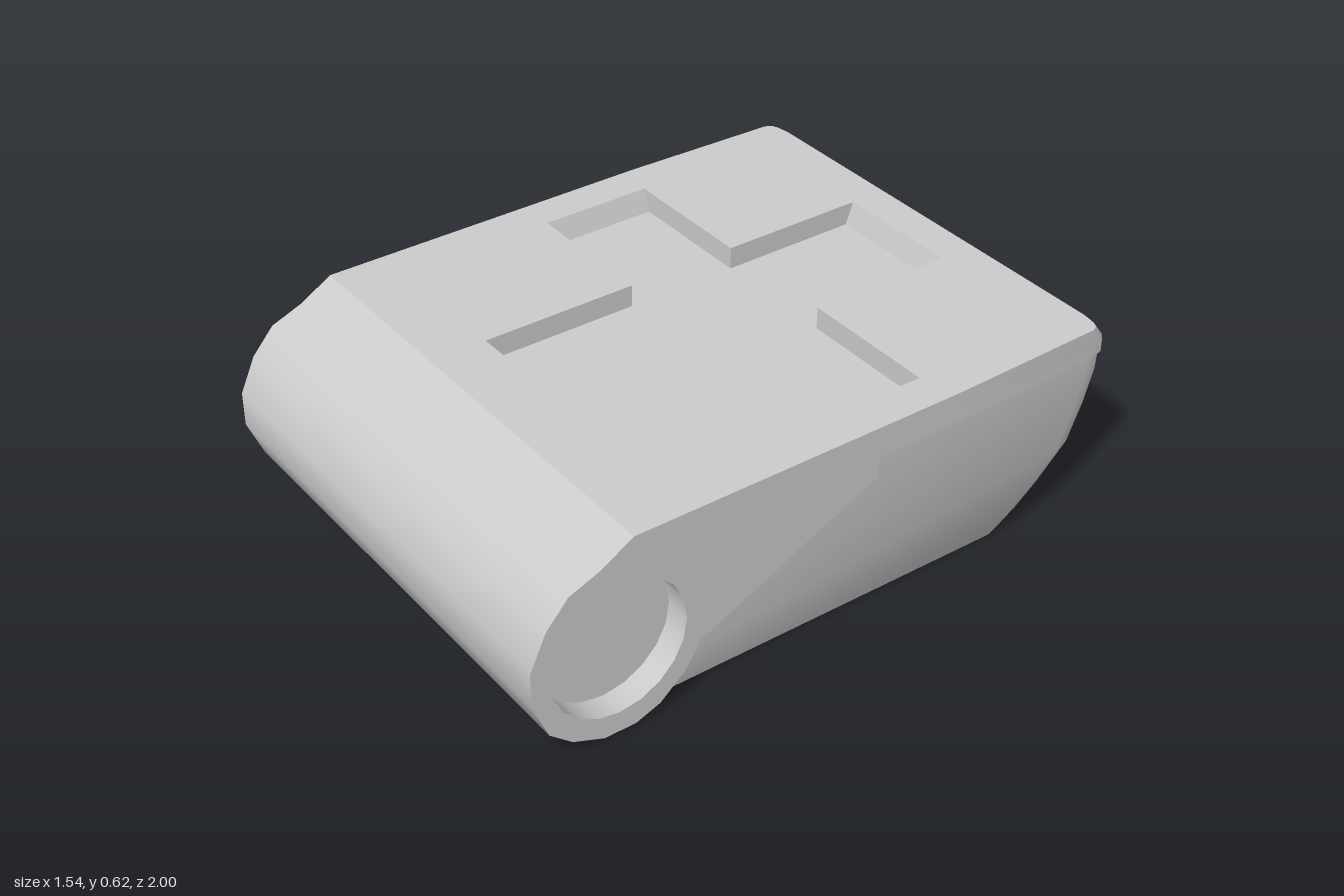
import * as THREE from 'three';
import { toCreasedNormals } from 'three/addons/utils/BufferGeometryUtils.js';

const material = new THREE.MeshStandardMaterial({ color: 0xcccccc });
const HALF = 0.77; // half width of the shell
const BARREL = { z: 0.73, y: 0.28, r: 0.215 };

function part(name, geometry, crease = 0.7) {
  const mesh = new THREE.Mesh(toCreasedNormals(geometry, crease), material);
  mesh.name = name;
  return mesh;
}

const points = (list) => list.map(([x, y]) => new THREE.Vector2(x, y));

// Plan points are (x, z); mirrored to the -x side to close the outline
function mirrored(half) {
  return [...half, ...half.map(([x, z]) => [-x, z]).reverse()];
}
const plan = (list) => points(list.map(([x, z]) => [x, -z]));

// Hinge barrel with its side webs: side profile (z, y) swept across the width
function hingeBody() {
  const shape = new THREE.Shape(points([
    [1, 0.33], [0.95, 0.44], [0.88, 0.52], [0.78, 0.56], [0.68, 0.62], [0.68, 0.525],
    [-0.12, 0.525], [-0.12, 0.46], [0.47, 0.18], [0.52, 0.1], [0.6, 0.03], [0.68, 0],
    [0.78, 0], [0.88, 0.04], [0.95, 0.1], [1, 0.22],
  ]));
  const hole = new THREE.Path();
  hole.absarc(BARREL.z, BARREL.y, BARREL.r, 0, Math.PI * 2, true);
  shape.holes.push(hole);
  const geo = new THREE.ExtrudeGeometry(shape, { depth: HALF * 2, bevelEnabled: false, curveSegments: 10 });
  geo.rotateY(-Math.PI / 2);
  geo.translate(HALF, 0, 0);
  return part('hingeBody', geo);
}

// Closes the barrel, leaving a round recess at each end
function barrelPlug() {
  const geo = new THREE.CylinderGeometry(BARREL.r + 0.005, BARREL.r + 0.005, 1.38, 20);
  geo.rotateZ(Math.PI / 2);
  geo.translate(0, BARREL.y, BARREL.z);
  return part('barrelPlug', geo);
}

const CROSS = mirrored([
  [0.205, 0.5], [0.205, 0], [0.65, 0], [0.65, -0.36], [0.205, -0.36], [0.205, -0.83],
]);

// Top plate with chamfered rear edge and a cross-shaped opening
function lid() {
  const bottom = 0.525, top = 0.62, shoulder = 0.565;
  const shape = new THREE.Shape(plan(mirrored([
    [HALF, 0.68], [HALF, -0.4], [0.755, -0.92], [0.745, -0.965], [0.725, -0.985], [0.68, -1],
  ])));
  shape.holes.push(new THREE.Path(plan(CROSS)));
  const geo = new THREE.ExtrudeGeometry(shape, { depth: top - bottom, steps: 2, bevelEnabled: false });
  geo.rotateX(-Math.PI / 2);
  geo.translate(0, bottom, 0);
  const p = geo.attributes.position;
  for (let i = 0; i < p.count; i++) {
    let x = p.getX(i), y = p.getY(i), z = p.getZ(i);
    if (y > bottom + 0.01 && y < top - 0.01) y = shoulder;
    // rear chamfer
    if (z < -0.91 && y > 0.6) z = -0.91 + (z + 0.91) * 0.45;
    // sloping ends of the cross arms
    const inset = 0.36 * (top - y);
    if (Math.abs(x) > 0.6 && Math.abs(x) < 0.66 && z > -0.37 && z < 0.01) x -= Math.sign(x) * inset;
    if (Math.abs(x) < 0.21 && z < -0.8) z += inset;
    if (Math.abs(x) < 0.21 && z > 0.45) z -= inset;
    p.setXYZ(i, x, y, z);
  }
  return part('lid', geo, 0.4);
}

function crossFloor() {
  const geo = new THREE.ShapeGeometry(new THREE.Shape(plan(CROSS)));
  geo.rotateX(-Math.PI / 2);
  geo.translate(0, 0.55, 0);
  return part('crossFloor', geo);
}

// Curved lower tub: rings [height, half width, front z, back z]
function lowerTub() {
  const levels = [
    [0, 0.71, 0.68, -0.7], [0.05, 0.722, 0.62, -0.748], [0.12, 0.733, 0.52, -0.812],
    [0.23, 0.742, 0.51, -0.91], [0.35, 0.748, 0.51, -0.953], [0.46, 0.75, 0.51, -0.985],
    [0.53, 0.75, 0.51, -0.99],
  ];
  const position = [], index = [];
  const n = 8;
  levels.forEach(([y, w, front, back], i) => {
    const ring = mirrored([[w, front], [w, back + 0.08], [w - 0.02, back + 0.02], [w - 0.08, back]]);
    ring.forEach(([x, z]) => position.push(x, y, z));
    if (i === 0) return;
    for (let j = 0; j < n; j++) {
      const a = (i - 1) * n + j, b = (i - 1) * n + (j + 1) % n;
      index.push(a, b, b + n, a, b + n, a + n);
    }
  });
  for (let j = 1; j < n - 1; j++) index.push(0, j + 1, j);
  const geo = new THREE.BufferGeometry();
  geo.setAttribute('position', new THREE.Float32BufferAttribute(position, 3));
  geo.setIndex(index);
  return part('lowerTub', geo, 0.85);
}

export function createModel() {
  const group = new THREE.Group();
  group.name = 'hingedCase';
  group.add(hingeBody(), barrelPlug(), lid(), crossFloor(), lowerTub());
  return group;
}
